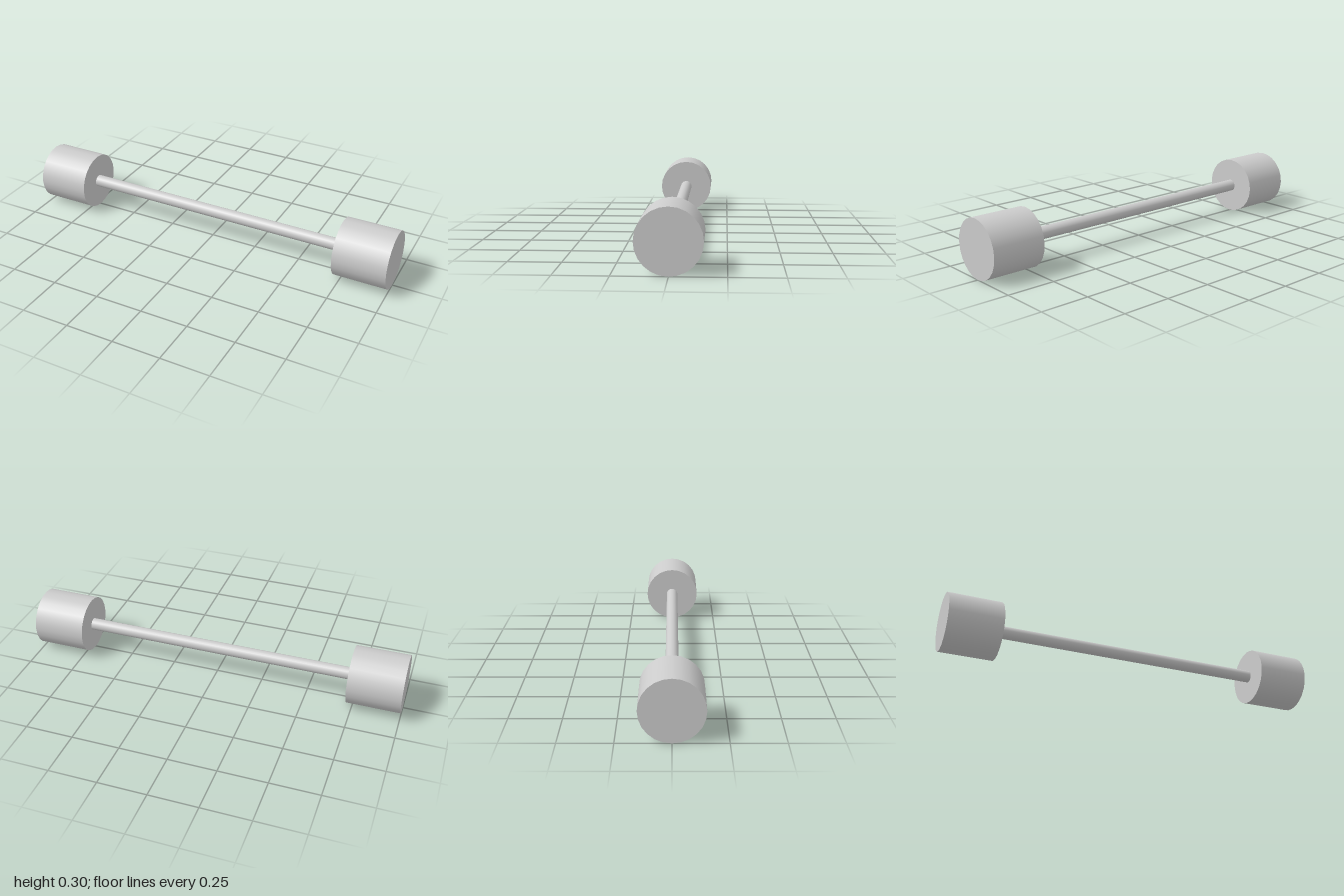
import * as THREE from 'three';

const RADIUS = 0.15;        // weight radius, also the height of the axis
const WEIGHT_LENGTH = 0.277;
const BAR_RADIUS = 0.032;

export function createModel() {
  const model = new THREE.Group();
  model.name = 'dumbbell';
  const material = new THREE.MeshStandardMaterial({ color: 0xcccccc });

  // Cylinder lying along x, centred at the given x
  const addCylinder = (name, radius, length, x) => {
    const geometry = new THREE.CylinderGeometry(radius, radius, length, 24);
    geometry.rotateZ(-Math.PI / 2);
    const mesh = new THREE.Mesh(geometry, material);
    mesh.name = name;
    mesh.position.set(x, RADIUS, 0);
    model.add(mesh);
  };

  // Handle bar, ending just inside the weights
  addCylinder('bar', BAR_RADIUS, 2 * (1 - WEIGHT_LENGTH) + 0.02, 0);

  // Mirrored end weights
  for (const side of [1, -1]) {
    addCylinder(side > 0 ? 'leftWeight' : 'rightWeight', RADIUS, WEIGHT_LENGTH, side * (1 - WEIGHT_LENGTH / 2));
  }
  return model;
}
